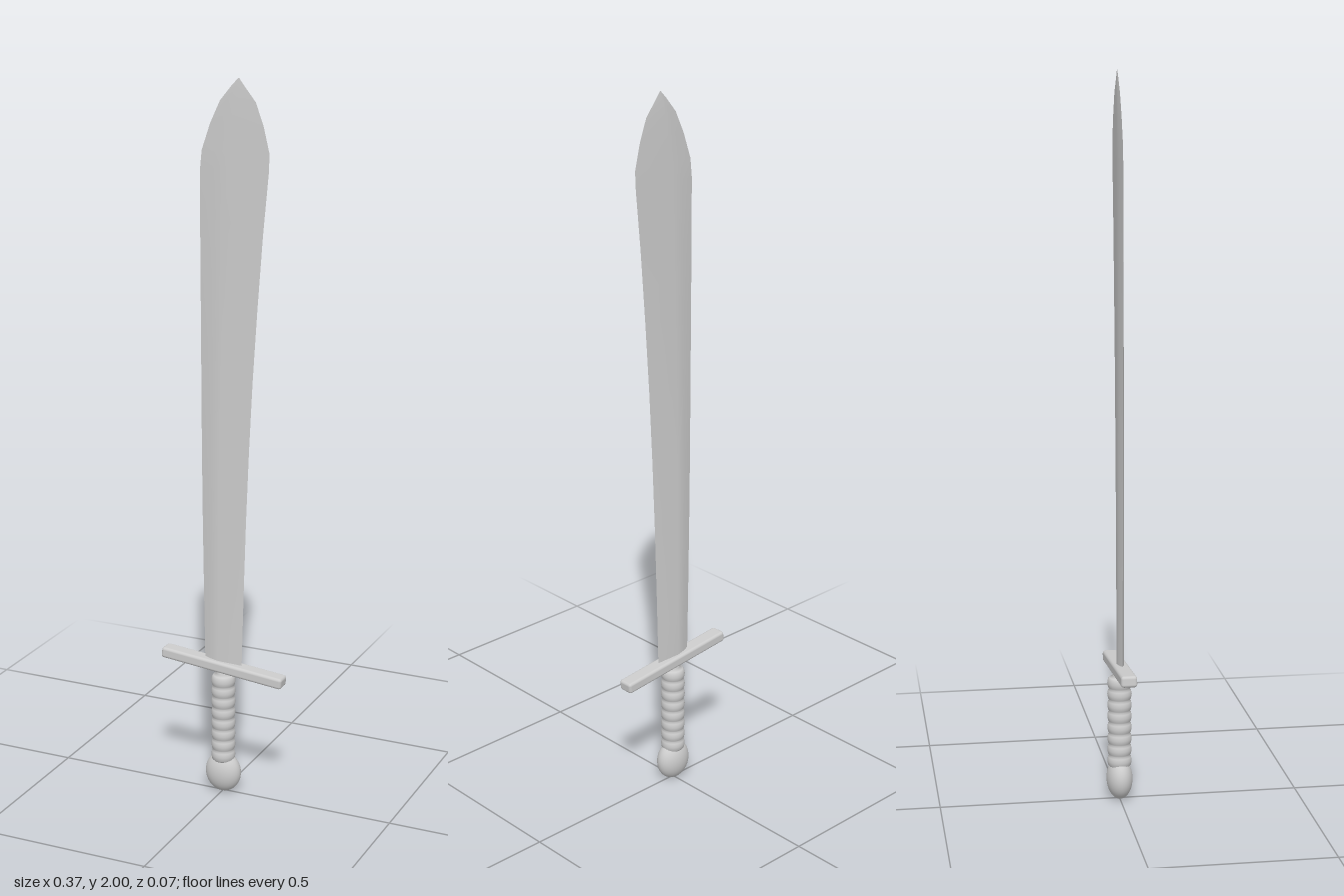
import * as THREE from 'three';
import { RoundedBoxGeometry } from 'three/addons/geometries/RoundedBoxGeometry.js';

const material = new THREE.MeshStandardMaterial({ color: 0xcccccc });

function add(group, name, geometry) {
  const mesh = new THREE.Mesh(geometry, material);
  mesh.name = name;
  group.add(mesh);
  return mesh;
}

// Blade: six-sided cross-sections [y, left x, right x, half thickness]
function bladeGeometry() {
  const rows = [
    [0.37, -0.055, 0.055, 0.01], [0.6, -0.059, 0.061, 0.01],
    [0.8, -0.062, 0.067, 0.01], [1.0, -0.064, 0.075, 0.01],
    [1.2, -0.065, 0.085, 0.009], [1.4, -0.066, 0.098, 0.009],
    [1.6, -0.067, 0.113, 0.008], [1.76, -0.067, 0.128, 0.007],
    [1.81, -0.062, 0.13, 0.006], [1.88, -0.038, 0.113, 0.005],
    [1.94, -0.01, 0.091, 0.004], [1.98, 0.023, 0.059, 0.002],
    [2.0, 0.042, 0.044, 0.0005],
  ];
  // Section corners: fraction across the width, fraction of thickness
  const section = [[0, 0], [0.2, 0.7], [0.4, 1], [1, 0], [0.4, -1], [0.2, -0.7]];
  const n = section.length;
  const positions = [];
  const index = [];
  // Front and back are separate strips so the cutting edges stay sharp
  for (const side of [[0, 1, 2, 3], [3, 4, 5, 0]]) {
    const start = positions.length / 3;
    for (const [y, left, right, depth] of rows) {
      for (const k of side) {
        const [u, v] = section[k % n];
        positions.push(left + (right - left) * u, y, depth * v);
      }
    }
    for (let r = 0; r < rows.length - 1; r++) {
      for (let k = 0; k < 3; k++) {
        const a = start + r * 4 + k, b = a + 1, c = a + 4, d = c + 1;
        index.push(a, b, d, a, d, c);
      }
    }
  }
  const geometry = new THREE.BufferGeometry();
  geometry.setAttribute('position', new THREE.Float32BufferAttribute(positions, 3));
  geometry.setIndex(index);
  geometry.computeVertexNormals();
  return geometry;
}

export function createModel() {
  const sword = new THREE.Group();
  sword.name = 'sword';

  add(sword, 'blade', bladeGeometry());

  // Slanted crossguard
  const guard = add(sword, 'crossguard', new RoundedBoxGeometry(0.366, 0.031, 0.044, 3, 0.008));
  guard.position.y = 0.377;
  guard.rotation.z = -0.1;

  // Grip with evenly spaced swollen wraps
  const wraps = 8, bottom = 0.095, top = 0.352;
  const step = (top - bottom) / wraps;
  const profile = [new THREE.Vector2(0, bottom)];
  for (let i = 0; i < wraps; i++) {
    const y = bottom + i * step;
    for (const [f, r] of [[0, 0.028], [0.15, 0.032], [0.5, 0.034], [0.85, 0.032]]) {
      profile.push(new THREE.Vector2(r, y + f * step));
    }
  }
  profile.push(new THREE.Vector2(0.028, top), new THREE.Vector2(0.019, top + 0.005),
    new THREE.Vector2(0.019, 0.385), new THREE.Vector2(0, 0.385));
  add(sword, 'grip', new THREE.LatheGeometry(profile, 32));

  // Flattened round pommel
  const pommel = add(sword, 'pommel', new THREE.SphereGeometry(1, 32, 24));
  pommel.scale.set(0.052, 0.058, 0.036);
  pommel.position.y = 0.058;

  return sword;
}
